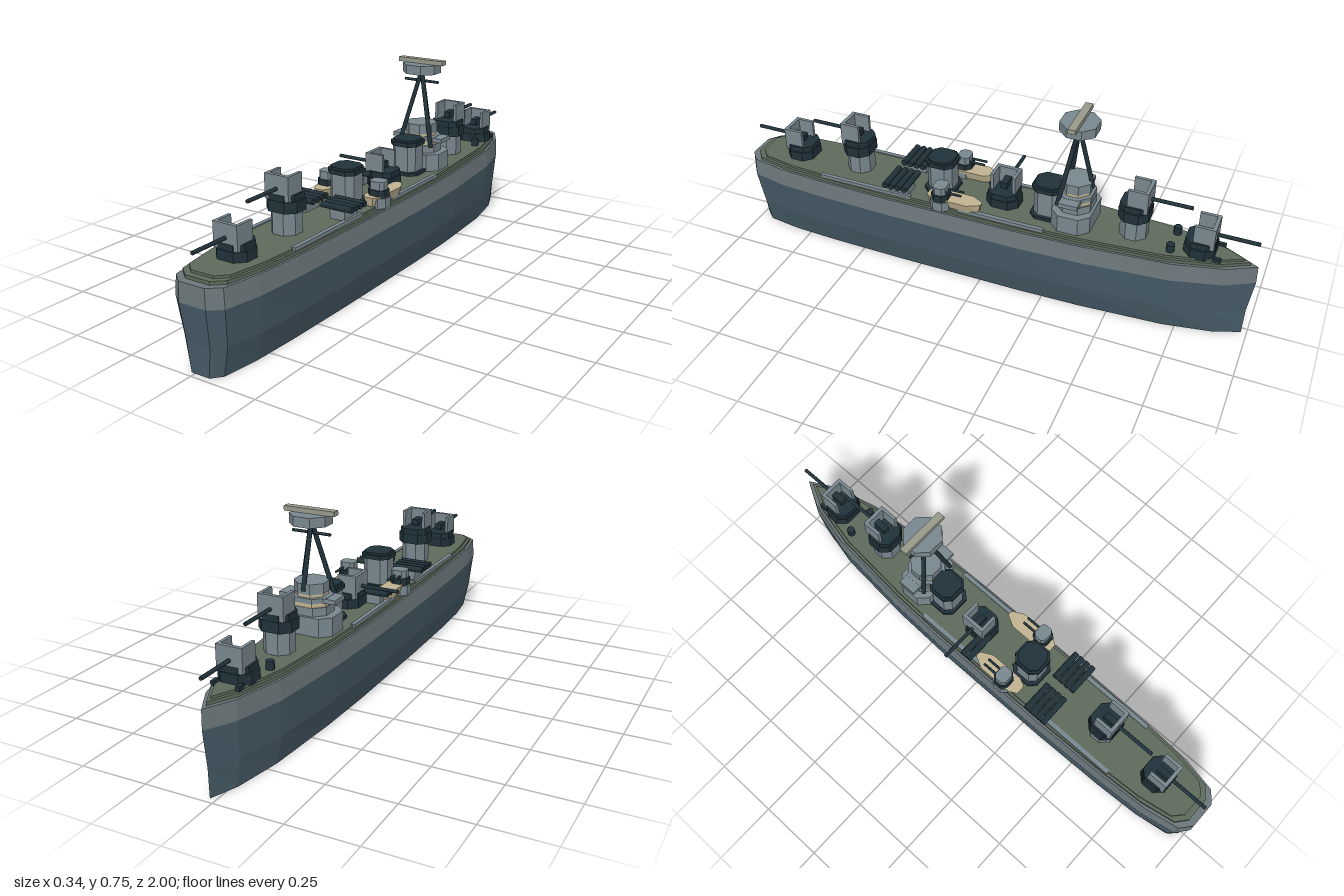
import * as THREE from 'three';

const mat = (name, color) => {
  const m = new THREE.MeshStandardMaterial({ color });
  m.name = name;
  return m;
};
const lowerPaint = mat('lower hull slate', 0x465b67);
const upperPaint = mat('upper hull grey', 0x6c777b);
const grey = mat('superstructure grey', 0x78878e);
const dark = mat('dark steel', 0x20323a);
const olive = mat('olive deck', 0x5d6a5b);
const khaki = mat('khaki', 0x97998a);
const tan = mat('tan wood', 0xc0b391);

const CX = 0.022; // the hull centreline sits slightly to the left
const DECK = 0.328;

// Skins a clockwise plan outline through levels [y, x scale, z scale], with flat faces and caps
function loft(outline, levels) {
  const pos = [], n = outline.length;
  const at = (l, i) => {
    const [x, z] = outline[i % n];
    return [x * l[1], l[0], z * l[2]];
  };
  const tri = (...pts) => pts.forEach((p) => pos.push(...p));
  for (let k = 0; k < levels.length - 1; k++) {
    const lo = levels[k], hi = levels[k + 1];
    for (let i = 0; i < n; i++) {
      tri(at(lo, i), at(hi, i), at(hi, i + 1));
      tri(at(lo, i), at(hi, i + 1), at(lo, i + 1));
    }
  }
  const bottom = levels[0], top = levels[levels.length - 1];
  for (let i = 0; i < n; i++) {
    tri([0, top[0], 0], at(top, i + 1), at(top, i));
    tri([0, bottom[0], 0], at(bottom, i), at(bottom, i + 1));
  }
  const g = new THREE.BufferGeometry();
  g.setAttribute('position', new THREE.Float32BufferAttribute(pos, 3));
  g.computeVertexNormals();
  return g;
}

function add(parent, name, geometry, material, x = 0, y = 0, z = 0) {
  const m = new THREE.Mesh(geometry, material);
  m.name = name;
  m.position.set(x, y, z);
  parent.add(m);
  return m;
}

const box = (p, name, w, h, d, m, x, y, z) => add(p, name, new THREE.BoxGeometry(w, h, d), m, x, y, z);

// Block with cut corners, from y0 to y1, optionally tapered at the top
function block(p, name, w, d, cut, y0, y1, m, x = 0, z = 0, taper = 1) {
  const a = w / 2, b = d / 2;
  const plan = [[a - cut, -b], [a, -b + cut], [a, b - cut], [a - cut, b],
    [-a + cut, b], [-a, b - cut], [-a, -b + cut], [-a + cut, -b]];
  return add(p, name, loft(plan, [[y0, 1, 1], [y1, taper, taper]]), m, x, 0, z);
}

// Round bar between two points
function bar(p, name, from, to, r, m, sides = 8) {
  const a = new THREE.Vector3(...from), b = new THREE.Vector3(...to);
  const dir = b.clone().sub(a);
  const mesh = add(p, name, new THREE.CylinderGeometry(r, r, dir.length(), sides), m);
  mesh.position.copy(a).add(b).multiplyScalar(0.5);
  mesh.quaternion.setFromUnitVectors(new THREE.Vector3(0, 1, 0), dir.normalize());
  return mesh;
}

// Deck gun pointing along +z, with a shield open at the back and top
function gun(p, name, x, y, z, turn) {
  const g = new THREE.Group();
  g.name = name;
  block(g, 'gunBase', 0.125, 0.11, 0.03, -0.005, 0.034, dark);
  block(g, 'gunFloor', 0.11, 0.105, 0.025, 0.034, 0.056, dark);
  box(g, 'shieldFace', 0.096, 0.086, 0.014, grey, 0, 0.079, 0.044);
  for (const s of [-1, 1]) box(g, 'shieldSide', 0.012, 0.068, 0.06, grey, s * 0.042, 0.088, 0.007);
  box(g, 'breech', 0.024, 0.024, 0.05, dark, 0, 0.075, 0.012);
  bar(g, 'barrel', [0, 0.075, 0.03], [0, 0.075, 0.197], 0.007, dark);
  g.position.set(x, y, z);
  g.rotation.y = turn;
  p.add(g);
}

function tubeBank(p, x, z, count) {
  const g = new THREE.Group();
  g.name = 'tubeBank';
  box(g, 'tubeStand', 0.06, 0.036, 0.024 * count - 0.016, grey, 0, DECK + 0.018, 0);
  for (let i = 0; i < count; i++) {
    const dz = (i - (count - 1) / 2) * 0.026;
    bar(g, 'tube', [-0.062, 0.373, dz], [0.062, 0.373, dz], 0.012, dark);
  }
  g.position.set(x, 0, z);
  p.add(g);
}

function funnel(p, z) {
  const g = new THREE.Group();
  g.name = 'funnel';
  block(g, 'funnelFoot', 0.125, 0.12, 0.025, DECK - 0.005, 0.34, dark);
  block(g, 'funnelBody', 0.1, 0.098, 0.022, 0.34, 0.44, grey);
  block(g, 'funnelCap', 0.114, 0.114, 0.026, 0.44, 0.456, dark);
  block(g, 'funnelMouth', 0.098, 0.098, 0.022, 0.456, 0.464, dark);
  g.position.z = z;
  p.add(g);
}

export function createModel() {
  const root = new THREE.Group();
  root.name = 'warship';
  const ship = new THREE.Group();
  ship.name = 'ship';
  ship.position.x = CX;
  root.add(ship);

  // Hull: pointed bow at -z, blunt stern at +z
  const side = [[0.057, -0.9], [0.104, -0.72], [0.134, -0.4], [0.143, -0.15], [0.143, 0.35],
    [0.136, 0.65], [0.125, 0.83], [0.098, 0.965], [0.053, 1]];
  const plan = [[0, -1], ...side, ...side.slice().reverse().map(([x, z]) => [-x, z])];
  add(ship, 'lowerHull', loft(plan, [[0, 0.67, 0.98], [0.105, 0.885, 0.983], [0.238, 1, 1]]), lowerPaint);
  add(ship, 'upperHull', loft(plan, [[0.238, 1, 1], [0.307, 0.955, 0.998]]), upperPaint);
  add(ship, 'deckEdge', loft(plan, [[0.304, 0.9, 0.972], [0.319, 0.9, 0.972]]), olive);
  add(ship, 'deck', loft(plan, [[0.318, 0.83, 0.95], [DECK, 0.83, 0.95]]), olive);
  for (const s of [-1, 1]) {
    box(ship, 'sideStripAft', 0.016, 0.016, 0.38, grey, s * 0.112, 0.324, 0.46);
    box(ship, 'sideStripMid', 0.016, 0.016, 0.33, grey, s * 0.114, 0.324, -0.09);
  }

  // Main guns, two of them raised on pedestals
  gun(ship, 'bowGun', 0, DECK, -0.795, Math.PI);
  gun(ship, 'raisedBowGun', 0, 0.412, -0.555, Math.PI);
  gun(ship, 'middleGun', 0, DECK, -0.062, -Math.PI / 2);
  gun(ship, 'raisedSternGun', 0, 0.412, 0.535, 0);
  gun(ship, 'sternGun', 0, DECK, 0.79, 0);
  for (const z of [-0.555, 0.535]) block(ship, 'gunPedestal', 0.1, 0.096, 0.028, 0.322, 0.41, grey, 0, z);

  funnel(ship, -0.235);
  funnel(ship, 0.187);

  // Tube banks lying across the deck
  for (const s of [-1, 1]) tubeBank(ship, s * 0.08, 0.322, 4);
  tubeBank(ship, -0.08, -0.015, 2);

  // Boats and twin light guns on both sides
  for (const s of [-1, 1]) {
    const x = s * 0.1;
    const boat = [[0.01, -0.105], [0.034, -0.06], [0.034, 0.075], [0.018, 0.105],
      [-0.018, 0.105], [-0.034, 0.075], [-0.034, -0.06], [-0.01, -0.105]];
    add(ship, 'boat', loft(boat, [[0.33, 0.7, 0.92], [0.364, 1, 1]]), tan, x, 0, s > 0 ? 0.095 : 0.115);
    const g = new THREE.Group();
    g.name = 'lightGun';
    block(g, 'lightGunStand', 0.078, 0.075, 0.02, 0.32, 0.358, grey);
    block(g, 'lightGunRing', 0.07, 0.065, 0.018, 0.358, 0.385, dark);
    block(g, 'lightGunHouse', 0.06, 0.05, 0.012, 0.385, 0.415, grey);
    for (const t of [-1, 1]) bar(g, 'lightBarrel', [t * 0.012, 0.393, -0.02], [t * 0.012, 0.393, -0.085], 0.005, dark, 6);
    g.position.set(s * 0.109, 0, 0.145);
    ship.add(g);
  }

  // Bridge tiers
  const bz = -0.338;
  block(ship, 'bridgeBase', 0.2, 0.145, 0.035, 0.32, 0.395, grey, 0, bz);
  block(ship, 'bridgeMiddle', 0.145, 0.125, 0.035, 0.395, 0.425, grey, 0, bz);
  block(ship, 'bridgeLowerBand', 0.135, 0.12, 0.035, 0.425, 0.441, tan, 0, bz);
  box(ship, 'bridgeWings', 0.217, 0.016, 0.07, grey, 0, 0.448, bz);
  block(ship, 'bridgeRoof', 0.145, 0.125, 0.038, 0.44, 0.457, grey, 0, bz);
  block(ship, 'bridgeUpperBand', 0.11, 0.105, 0.032, 0.457, 0.468, tan, 0, bz);
  block(ship, 'bridgeTop', 0.115, 0.11, 0.034, 0.468, 0.505, grey, 0, bz);

  // Tripod mast with director and rangefinder
  const feet = [[-0.071, 0.42, -0.288], [0.071, 0.42, -0.288], [0, 0.48, -0.395]];
  for (const f of feet) bar(ship, 'mastLeg', f, [0, 0.71, -0.333], 0.0085, dark);
  bar(ship, 'mastCrossbar', [-0.073, 0.67, -0.333], [0.073, 0.67, -0.333], 0.0055, dark);
  block(ship, 'director', 0.138, 0.13, 0.038, 0.703, 0.738, grey, 0, -0.335);
  box(ship, 'rangefinder', 0.192, 0.017, 0.028, khaki, 0, 0.7465, -0.335);

  // Mooring posts near the bow
  for (const s of [-1, 1]) {
    add(ship, 'mooringPost', new THREE.CylinderGeometry(0.015, 0.015, 0.035, 8), dark, s * 0.053, 0.34, -0.7);
    box(ship, 'bowCleat', 0.014, 0.016, 0.03, dark, s * 0.045, 0.33, -0.86);
  }
  return root;
}
